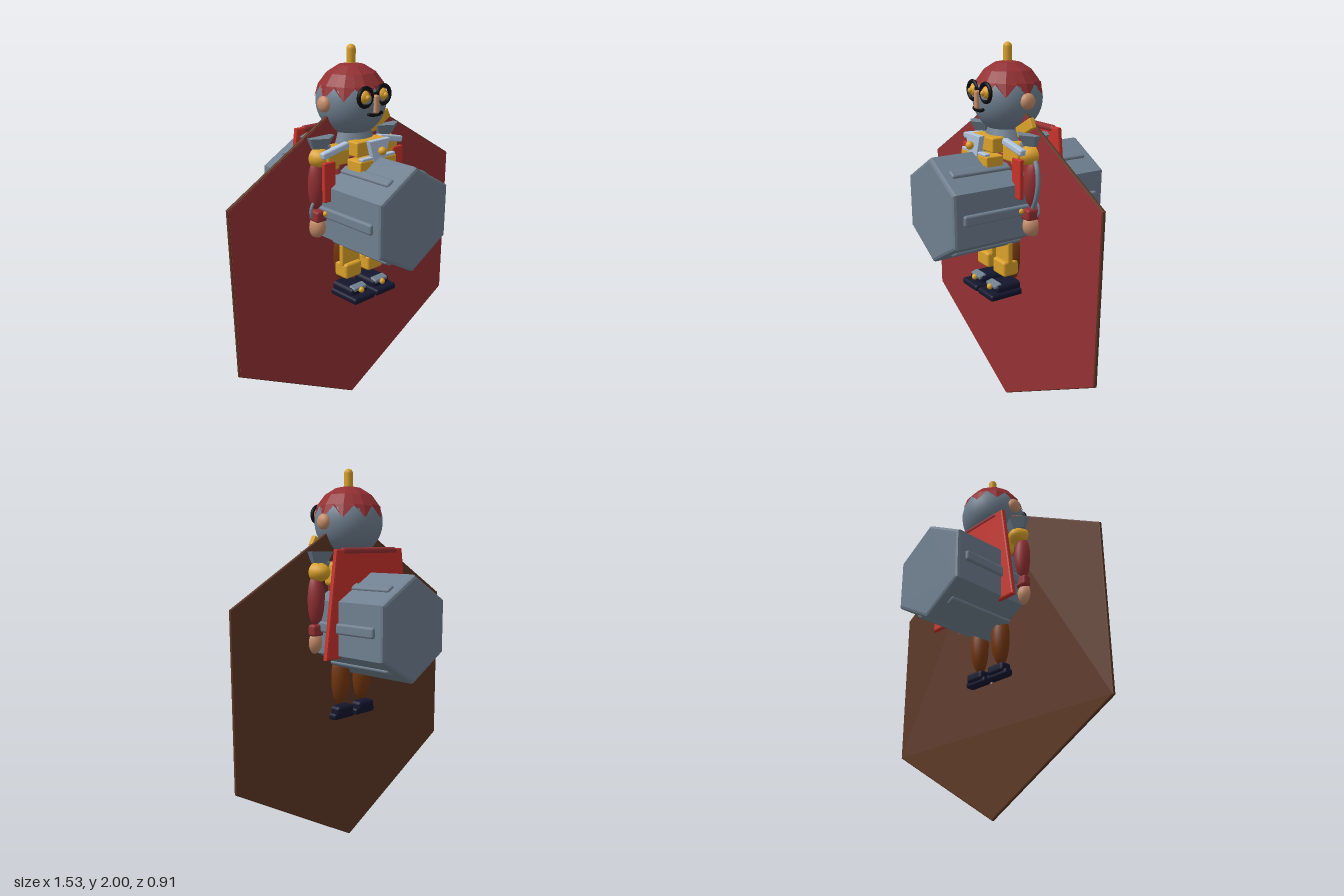
import * as THREE from 'three';
import { RoundedBoxGeometry } from 'three/addons/geometries/RoundedBoxGeometry.js';

const mat = (name, color, extra = {}) => {
  const m = new THREE.MeshStandardMaterial({ color, ...extra });
  m.name = name;
  return m;
};

// Pointed-top hexagon outline
function hexShape(r) {
  const pts = [];
  for (let i = 0; i < 6; i++) {
    const a = Math.PI / 2 + i * Math.PI / 3;
    pts.push(new THREE.Vector2(Math.cos(a) * r, Math.sin(a) * r));
  }
  return new THREE.Shape(pts);
}

// Extrusion centred on z = 0, total thickness d, optional bevel inside the outline
function slab(shape, d, bevel = 0) {
  const g = new THREE.ExtrudeGeometry(shape, {
    depth: d - 2 * bevel, bevelEnabled: bevel > 0, bevelSize: bevel, bevelThickness: bevel, bevelSegments: 2,
  });
  return g.translate(0, 0, -(d - 2 * bevel) / 2);
}

// Faceted cap with a zigzag rim
function capGeometry(r) {
  const g = new THREE.SphereGeometry(r, 20, 4, 0, Math.PI * 2, 0, 1.46).toNonIndexed();
  const p = g.attributes.position, v = new THREE.Vector3();
  for (let i = 0; i < p.count; i++) {
    v.fromBufferAttribute(p, i);
    const col = Math.round(Math.atan2(v.z, v.x) / (Math.PI / 10));
    const polar = Math.acos(v.y / r);
    if (Math.abs(col % 2) === 1) {
      if (polar > 1.4) v.setFromSphericalCoords(r, 1.13, Math.atan2(v.x, v.z));
      else { v.x *= 0.965; v.z *= 0.965; }
    }
    p.setXYZ(i, v.x, v.y, v.z);
  }
  g.computeVertexNormals();
  return g;
}

export function createModel() {
  const model = new THREE.Group();
  model.name = 'hexShieldFigure';
  const slate = mat('slate', 0x708090);
  const darkRed = mat('darkRed', 0x943033);
  const capRed = mat('brightRed', 0xc8322b);
  const gold = mat('gold', 0xdaa12a);
  const brown = mat('darkBrown', 0x5c3623);
  const legBrown = mat('legBrown', 0x74370f);
  const skin = mat('skin', 0xc68e6b);
  const navy = mat('navy', 0x14162e);
  const steel = mat('lightSteel', 0xb0c4de);
  const black = mat('black', 0x0c0c10);

  const add = (name, geo, material, x = 0, y = 0, z = 0, parent = model) => {
    const m = new THREE.Mesh(geo, material);
    m.name = name;
    m.position.set(x, y, z);
    parent.add(m);
    return m;
  };
  const box = (name, material, w, h, d, x, y, z, r = 0.008) =>
    add(name, new RoundedBoxGeometry(w, h, d, 2, r), material, x, y, z);
  const ball = (name, material, r, x, y, z, sx = 1, sy = 1, sz = 1) => {
    const m = add(name, new THREE.SphereGeometry(r, 24, 16), material, x, y, z);
    m.scale.set(sx, sy, sz);
    return m;
  };
  const both = (fn) => [-1, 1].forEach((s) => fn(s, s > 0 ? 'left' : 'right'));

  // Large thin hexagon: brown board with a red front face
  add('hexBoard', slab(hexShape(0.877), 0.018, 0.006), brown, 0, 0.885, 0);
  add('hexBoardFace', slab(hexShape(0.877), 0.004), darkRed, 0, 0.885, 0.0095);

  // Hexagonal drum through the body, with ribs on its sides
  add('hexDrum', slab(hexShape(0.252), 0.91, 0.016), slate, 0, 1.205, 0);
  both((s, n) => {
    box(n + 'DrumRib', slate, 0.03, 0.055, 0.81, s * 0.236, 1.207, 0, 0.012);
    [-1, 1].forEach((t) => {
      const rib = box(n + 'DrumSlantRib', slate, 0.03, 0.05, 0.81, s * 0.118, 1.205 + t * 0.2, 0, 0.012);
      rib.rotation.z = s * t * Math.PI / 3;
    });
  });

  // Head with cap and crest
  add('head', new THREE.SphereGeometry(0.178, 28, 18, 0, Math.PI * 2, 0.95, Math.PI - 0.95), slate, 0, 1.73, 0);
  add('cap', capGeometry(0.185), darkRed, 0, 1.73, 0);
  add('crest', new THREE.CapsuleGeometry(0.023, 0.07, 6, 16), gold, 0, 1.942, 0);

  // Face
  both((s, n) => {
    ball(n + 'Ear', skin, 0.04, s * 0.178, 1.73, 0, 0.7, 1, 1);
    ball(n + 'Eye', gold, 0.032, s * 0.06, 1.77, 0.152);
    ball(n + 'Pupil', gold, 0.013, s * 0.06, 1.77, 0.182);
    add(n + 'Lens', new THREE.TorusGeometry(0.044, 0.01, 10, 28), black, s * 0.06, 1.77, 0.166);
    const tip = box(n + 'MoustacheTip', black, 0.03, 0.016, 0.018, s * 0.034, 1.684, 0.172, 0.006);
    tip.rotation.z = s * 0.3;
  });
  box('glassesBridge', black, 0.04, 0.012, 0.012, 0, 1.785, 0.178, 0.005);
  box('nose', skin, 0.028, 0.09, 0.035, 0, 1.732, 0.175, 0.01);
  box('moustache', black, 0.06, 0.016, 0.018, 0, 1.68, 0.174, 0.006);

  // Torso and collar
  box('torso', darkRed, 0.32, 0.44, 0.16, 0, 1.26, 0, 0.03);
  box('yoke', gold, 0.36, 0.12, 0.15, 0, 1.47, 0, 0.02);
  add('neck', new THREE.CylinderGeometry(0.1, 0.13, 0.08, 16), slate, 0, 1.55, 0);

  // Chest armour
  box('chestBlock', gold, 0.25, 0.06, 0.1, 0, 1.44, 0.155);
  box('chestTop', gold, 0.2, 0.075, 0.075, 0, 1.515, 0.117);
  const bib = new THREE.Shape([[-0.065, 0.05], [-0.035, -0.05], [0.035, -0.05], [0.065, 0.05]]
    .map(([x, y]) => new THREE.Vector2(x, y)));
  add('chestPlate', slab(bib, 0.03, 0.004), steel, 0, 1.51, 0.195);
  box('chestBand', steel, 0.23, 0.014, 0.03, 0, 1.476, 0.192, 0.005);
  ball('chestStud', gold, 0.021, 0, 1.51, 0.226);

  both((s, n) => {
    // Shoulders
    const pad = add(n + 'ShoulderPad', new THREE.CylinderGeometry(0.086, 0.056, 0.055, 6).toNonIndexed(), slate,
      s * 0.225, 1.555, 0);
    pad.geometry.computeVertexNormals();
    box(n + 'PadStem', slate, 0.09, 0.03, 0.08, s * 0.21, 1.52, 0, 0.01);
    ball(n + 'ShoulderJoint', gold, 0.055, s * 0.235, 1.48, 0, 1.05, 0.95, 1.6);
    box(n + 'LapelBase', gold, 0.14, 0.08, 0.05, s * 0.17, 1.48, 0.075, 0.012);
    const lapel = box(n + 'Lapel', steel, 0.17, 0.034, 0.035, s * 0.19, 1.52, 0.09, 0.01);
    lapel.rotation.z = -s * 0.2;

    // Arms
    ball(n + 'UpperArm', darkRed, 0.06, s * 0.25, 1.34, 0, 0.85, 2.25, 1.08);
    box(n + 'Cuff', darkRed, 0.09, 0.06, 0.125, s * 0.25, 1.19, 0.012, 0.014);
    ball(n + 'CuffStud', gold, 0.014, s * 0.25, 1.207, 0.085);
    ball(n + 'Hand', skin, 0.06, s * 0.253, 1.125, 0.012, 0.75, 1.05, 1);
    const band = add(n + 'WristRing', new THREE.TorusGeometry(0.052, 0.008, 8, 24), slate, s * 0.25, 1.21, 0.02);
    band.rotation.y = 0.2;
    box(n + 'FrontPanel', capRed, 0.072, 0.2, 0.024, s * 0.238, 1.372, 0.098, 0.006);
    box(n + 'BackStrap', capRed, 0.05, 0.05, 0.06, s * 0.15, 1.455, -0.105, 0.008);

    // Legs with gold guards
    ball(n + 'Leg', legBrown, 0.068, s * 0.08, 0.92, 0, 0.88, 2.2, 1.02);
    box(n + 'ThighGuard', gold, 0.125, 0.12, 0.03, s * 0.08, 0.945, 0.075, 0.008);
    box(n + 'KneeGuard', gold, 0.112, 0.085, 0.095, s * 0.08, 0.855, 0.065, 0.014);

    // Shoes
    box(n + 'Sole', navy, 0.148, 0.036, 0.255, s * 0.08, 0.717, 0.073, 0.014);
    box(n + 'ShoeUpper', navy, 0.12, 0.055, 0.225, s * 0.08, 0.745, 0.047, 0.02);
    const buckle = box(n + 'Buckle', slate, 0.095, 0.03, 0.045, s * 0.078, 0.762, 0.138, 0.008);
    buckle.rotation.x = 0.25;
    ball(n + 'BuckleStud', gold, 0.016, s * 0.078, 0.757, 0.165);
  });

  // Hose beside the left arm
  const hose = new THREE.CatmullRomCurve3([[0.27, 1.46, 0.02], [0.31, 1.43, 0.035], [0.327, 1.36, 0.04],
    [0.31, 1.28, 0.038], [0.275, 1.22, 0.03]].map((p) => new THREE.Vector3(...p)));
  add('armHose', new THREE.TubeGeometry(hose, 28, 0.012, 10), slate);

  // Gold flap on the left shoulder
  const flap = box('shoulderFlap', gold, 0.14, 0.055, 0.03, 0.185, 1.605, 0.015, 0.006);
  flap.rotation.z = 0.5;

  // Back panel with a rolled top
  const cape = new THREE.Shape([[-0.235, 0.262], [-0.307, -0.262], [0.307, -0.262], [0.235, 0.262]]
    .map(([x, y]) => new THREE.Vector2(x, y)));
  add('backPanel', slab(cape, 0.028, 0.01), capRed, 0, 1.325, -0.148);
  const roll = add('backRoll', new THREE.CapsuleGeometry(0.018, 0.37, 6, 14), darkRed, 0, 1.585, -0.148);
  roll.rotation.z = Math.PI / 2;

  // Small foot pivot between the shoes
  ball('footPivot', steel, 0.03, 0, 0.7, 0.02, 1, 0.5, 1);

  return model;
}
